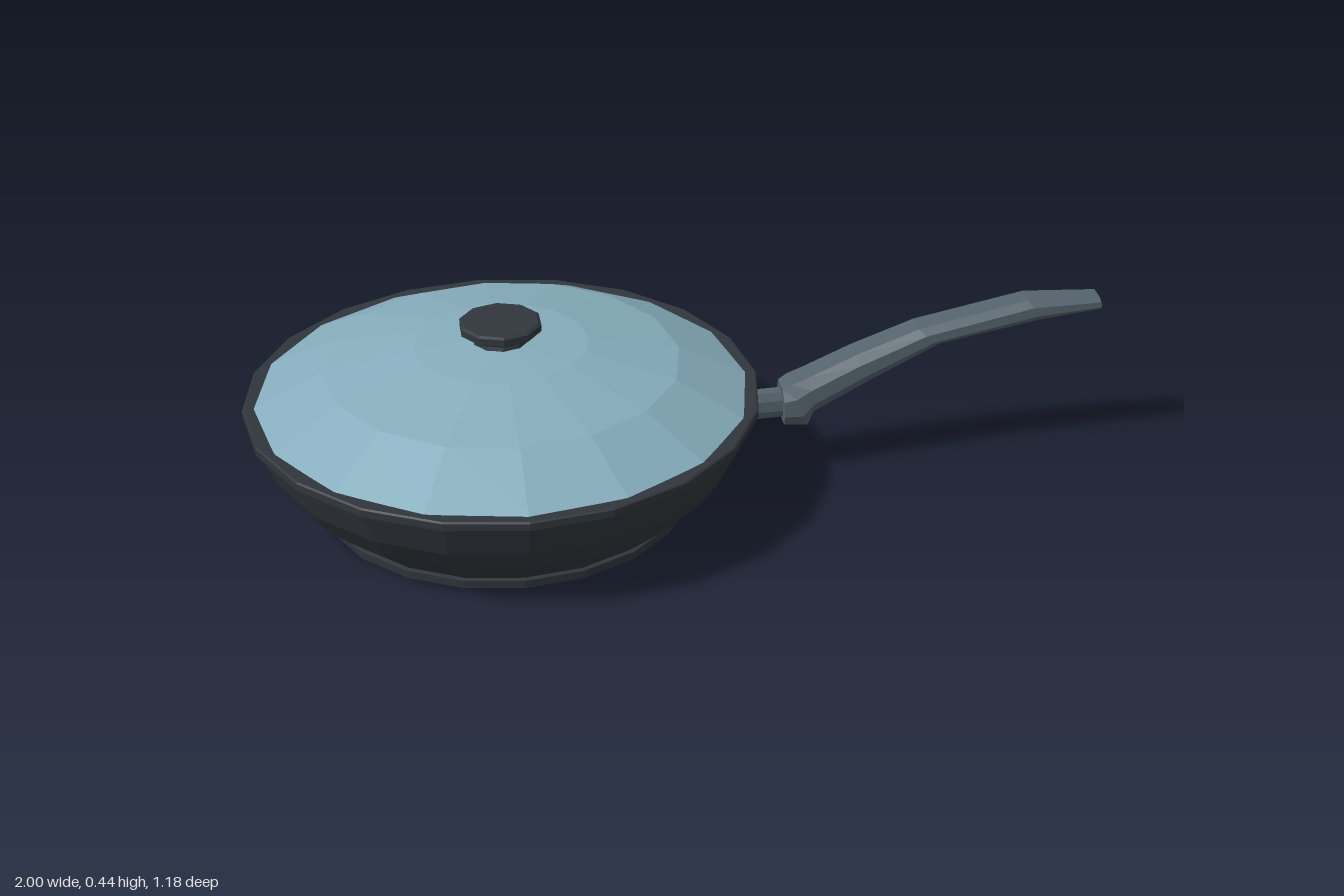
import * as THREE from 'three';

const PAN_X = -0.41;

// Splits shared corners so every facet is shaded flat
function faceted(geometry) {
  const flat = geometry.index ? geometry.toNonIndexed() : geometry;
  flat.computeVertexNormals();
  return flat;
}

function part(name, geometry, material, parent) {
  const mesh = new THREE.Mesh(faceted(geometry), material);
  mesh.name = name;
  parent.add(mesh);
  return mesh;
}

function turned(profile, sides) {
  return new THREE.LatheGeometry(profile.map(([r, y]) => new THREE.Vector2(r, y)), sides);
}

// Lofts a chamfered bar along +x; each section is [xLow, yLow, xHigh, yHigh, halfWidth]
function loftedBar(sections) {
  const ring = [[0, -0.65], [0.3, -1], [0.72, -1], [1, -0.6], [1, 0.6], [0.72, 1], [0.3, 1], [0, 0.65]];
  const n = ring.length;
  const positions = [];
  const index = [];
  for (const [x0, y0, x1, y1, w] of sections) {
    for (const [t, s] of ring) positions.push(x0 + (x1 - x0) * t, y0 + (y1 - y0) * t, s * w);
  }
  for (let i = 0; i < sections.length - 1; i++) {
    for (let j = 0; j < n; j++) {
      const a = i * n + j, b = i * n + (j + 1) % n;
      index.push(a, b, b + n, a, b + n, a + n);
    }
  }
  const last = (sections.length - 1) * n;
  for (let j = 1; j < n - 1; j++) {
    index.push(0, j + 1, j);
    index.push(last, last + j, last + j + 1);
  }
  const geometry = new THREE.BufferGeometry();
  geometry.setAttribute('position', new THREE.Float32BufferAttribute(positions, 3));
  geometry.setIndex(index);
  return geometry;
}

export function createModel() {
  const darkMetal = new THREE.MeshStandardMaterial({ color: 0x30363c });
  darkMetal.name = 'dark metal';
  const lidGlass = new THREE.MeshStandardMaterial({ color: 0x86adbc });
  lidGlass.name = 'blue lid glass';
  const handleGrey = new THREE.MeshStandardMaterial({ color: 0x54636c });
  handleGrey.name = 'handle grey';

  const model = new THREE.Group();
  model.name = 'fryingPan';

  // Round parts share the pan's axis
  const round = new THREE.Group();
  round.name = 'panAndLid';
  round.position.x = PAN_X;
  model.add(round);

  // Bowl with a low foot ring and flaring wall
  part('panBody', turned([
    [0, 0.003], [0.42, 0.003], [0.43, 0], [0.432, 0.02], [0.422, 0.022],
    [0.505, 0.095], [0.55, 0.16], [0.583, 0.246],
  ], 20), darkMetal, round);

  // Flat band around the mouth
  part('rim', turned([
    [0.57, 0.245], [0.592, 0.245], [0.592, 0.262], [0.588, 0.265], [0.53, 0.263],
  ], 20), darkMetal, round);

  // Shallow domed lid
  part('lid', turned([
    [0.566, 0.264], [0.41, 0.342], [0.2, 0.388], [0, 0.402],
  ], 16), lidGlass, round);

  // Knob on a short stem
  part('knob', turned([
    [0.07, 0.385], [0.06, 0.412], [0.08, 0.416], [0.095, 0.425],
    [0.095, 0.441], [0.088, 0.445], [0, 0.445],
  ], 10), darkMetal, round);

  // Bracket joining bowl and handle
  part('handleBracket', loftedBar([
    [0.10, 0.142, 0.10, 0.208, 0.022],
    [0.27, 0.148, 0.27, 0.212, 0.022],
  ]), handleGrey, model);

  // Curved handle with a small heel underneath
  part('handle', loftedBar([
    [0.245, 0.133, 0.24, 0.225, 0.045],
    [0.3, 0.13, 0.26, 0.237, 0.05],
    [0.315, 0.165, 0.3, 0.253, 0.05],
    [0.45, 0.238, 0.41, 0.302, 0.049],
    [0.61, 0.318, 0.56, 0.358, 0.047],
    [0.85, 0.36, 0.82, 0.412, 0.042],
    [0.998, 0.374, 0.993, 0.405, 0.034],
  ]), handleGrey, model);

  return model;
}
